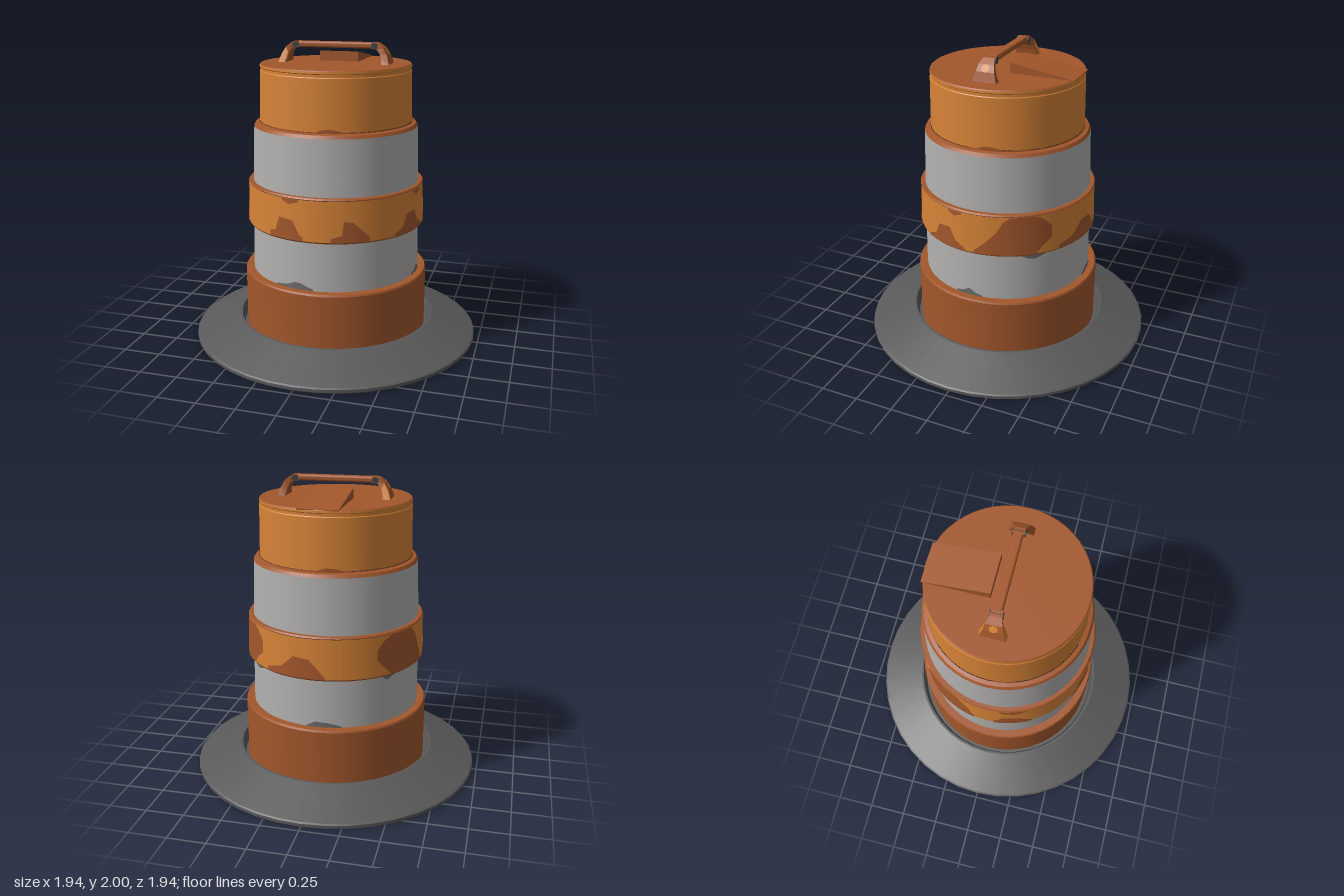
import * as THREE from 'three';
import { mergeGeometries } from 'three/addons/utils/BufferGeometryUtils.js';
import { RoundedBoxGeometry } from 'three/addons/geometries/RoundedBoxGeometry.js';

const material = (name, color, side = THREE.FrontSide) => {
  const m = new THREE.MeshStandardMaterial({ color, side });
  m.name = name;
  return m;
};

// Revolved profile, bottom to top, with a sharp edge at every point
function revolve(points, segments = 48) {
  const rings = [];
  for (let i = 0; i + 1 < points.length; i++) {
    const pair = [points[i], points[i + 1]].map(([r, y]) => new THREE.Vector2(r, y));
    rings.push(new THREE.LatheGeometry(pair, segments));
  }
  return mergeGeometries(rings);
}

// Thin curved plate on the barrel; outline is a list of [angle, low, high]
function wearPatch(outline, radiusAt) {
  const pos = [], index = [];
  const add = (a, y) => {
    const r = radiusAt(y) + 0.004;
    pos.push(r * Math.sin(a), y, r * Math.cos(a));
  };
  for (let i = 0; i + 1 < outline.length; i++) {
    const p = outline[i], q = outline[i + 1];
    const steps = Math.max(1, Math.ceil((q[0] - p[0]) / 0.06));
    for (let s = i ? 1 : 0; s <= steps; s++) {
      const [a, lo, hi] = p.map((v, k) => v + (q[k] - v) * s / steps);
      add(a, lo);
      add(a, hi);
    }
  }
  for (let k = 0; k + 3 < pos.length / 3; k += 2) index.push(k, k + 2, k + 1, k + 1, k + 2, k + 3);
  const g = new THREE.BufferGeometry();
  g.setAttribute('position', new THREE.Float32BufferAttribute(pos, 3));
  g.setIndex(index);
  g.computeVertexNormals();
  return g;
}

// Flat-faced handle leg: sections are [outerX, outerY, innerX, innerY, halfDepth]
function legGeometry(sections) {
  const pos = [];
  const ring = ([ox, oy, ix, iy, d]) => [[ox, oy, d], [ox, oy, -d], [ix, iy, -d], [ix, iy, d]];
  for (let i = 0; i + 1 < sections.length; i++) {
    const a = ring(sections[i]), b = ring(sections[i + 1]);
    for (let k = 0; k < 4; k++) {
      const n = (k + 1) % 4;
      pos.push(...a[k], ...b[k], ...b[n], ...a[k], ...b[n], ...a[n]);
    }
  }
  const g = new THREE.BufferGeometry();
  g.setAttribute('position', new THREE.Float32BufferAttribute(pos, 3));
  g.computeVertexNormals();
  return g;
}

export function createModel() {
  const group = new THREE.Group();
  const rust = material('rust orange', 0xa3572c);
  const orange = material('bright orange', 0xd78337);
  const white = material('reflective grey white', 0xb3b1b0);
  const rubber = material('rubber grey', 0x595959);
  const bolt = material('bolt grey', 0x3c4247);
  const rustPaint = material('worn orange', 0xa3572c, THREE.DoubleSide);
  const greyPaint = material('worn grey', 0x6a6a6a, THREE.DoubleSide);
  const orangePaint = material('orange paint', 0xd78337, THREE.DoubleSide);

  const add = (name, geometry, mat, parent = group) => {
    const mesh = new THREE.Mesh(geometry, mat);
    mesh.name = name;
    parent.add(mesh);
    return mesh;
  };

  // Weighted rubber base with a groove around the barrel
  add('base', revolve([[0, 0], [0.96, 0], [0.97, 0.01], [0.97, 0.03], [0.96, 0.037],
    [0.675, 0.145], [0.66, 0.145], [0.64, 0.07], [0.61, 0.07]], 40), rubber);

  // Stepped barrel
  add('lowerBand', revolve([[0.62, 0.06], [0.62, 0.475], [0.613, 0.487], [0.55, 0.487]]), rust);
  add('lowerStripe', revolve([[0.565, 0.487], [0.56, 0.82]]), white);
  add('middleBandUnderside', revolve([[0.55, 0.812], [0.583, 0.812], [0.59, 0.822]]), rust);
  add('middleBand', revolve([[0.59, 0.822], [0.583, 1.085]]), orange);
  add('middleBandLedge', revolve([[0.583, 1.085], [0.587, 1.09], [0.58, 1.1], [0.54, 1.1]]), rust);
  add('upperStripe', revolve([[0.555, 1.1], [0.542, 1.462]]), white);
  add('upperLedge', revolve([[0.542, 1.462], [0.53, 1.482], [0.505, 1.488], [0.505, 1.495]]), rust);
  add('topBand', revolve([[0.502, 1.495], [0.497, 1.82], [0.493, 1.825], [0.493, 1.842],
    [0.497, 1.847], [0.496, 1.86]]), orange);
  add('lid', revolve([[0.496, 1.86], [0.49, 1.866], [0, 1.866]]), rust);

  // Worn paint on the middle band
  const middle = y => 0.59 - (y - 0.822) * 0.0266;
  const b = 0.824, t = 1.084;
  [
    [[-0.5, b, 0.86], [-0.42, b, 0.87], [-0.37, b, 0.96], [-0.2, b, 0.95], [-0.12, b, 0.86], [-0.08, b, 0.85]],
    [[-0.34, 1.075, t], [-0.25, 1.05, t], [-0.13, 1.07, t]],
    [[0.22, b, 0.85], [0.34, b, 0.87], [0.36, b, 0.96], [0.46, b, 0.95], [0.55, b, 0.9], [0.64, b, 0.85]],
    [[0.95, b, 0.84], [1.08, b, 0.87], [1.14, b, 0.95], [1.3, b, 0.96], [1.38, b, 0.88], [1.5, b, 0.84]],
    [[1.28, 1.075, t], [1.36, 1.05, t], [1.46, 1.07, t]],
    [[1.6, b, 0.84], [1.72, b, 0.9], [1.85, b, 0.98], [1.92, b, 1.05], [2.0, b, t],
      [2.28, b, t], [2.36, 0.88, 1.06], [2.46, 0.92, 1.0]],
    [[2.55, b, 0.85], [2.75, b, 0.88], [2.9, b, 0.96], [3.08, b, 0.95], [3.25, b, 0.84]],
    [[-2.46, 0.93, 1.0], [-2.38, 0.88, 1.05], [-2.28, b, t], [-1.95, b, t], [-1.85, b, 1.02], [-1.72, b, 0.86]],
    [[-1.5, b, 0.85], [-1.38, b, 0.95], [-1.2, b, 0.93], [-1.05, b, 0.85]],
    [[-1.42, 1.05, t], [-1.25, 1.03, t], [-1.12, 1.07, t]],
  ].forEach(o => add('middleBandWear', wearPatch(o, middle), rustPaint));

  // Scuffs on the lower stripe and the foot of the top band
  const lower = y => 0.565 - (y - 0.487) * 0.015;
  const f = 0.489, u = 0.812;
  [
    [[-0.46, f, 0.497], [-0.3, f, 0.51], [-0.2, f, 0.535], [-0.12, f, 0.53], [-0.04, f, 0.51], [0.02, f, 0.5]],
    [[1.35, f, 0.5], [1.45, f, 0.515], [1.52, f, 0.537], [1.6, f, 0.51], [1.68, f, 0.497]],
    [[-3.25, f, 0.495], [-3.15, f, 0.525], [-3.0, f, 0.52], [-2.85, f, 0.497]],
    [[2.1, 0.805, u], [2.2, 0.78, u], [2.28, 0.772, u], [2.42, 0.8, u]],
    [[-2.38, 0.805, u], [-2.3, 0.775, u], [-2.2, 0.8, u]],
  ].forEach(o => add('stripeScuff', wearPatch(o, lower), greyPaint));
  [0.2, 1.75, 3.3, 4.9].forEach(a => add('topBandWear', wearPatch(
    [[a - 0.15, 1.495, 1.5], [a - 0.06, 1.495, 1.515], [a + 0.05, 1.495, 1.512], [a + 0.15, 1.495, 1.5]],
    () => 0.502), rustPaint));

  // Sloping wedge on the lid behind the handle
  const wedge = new THREE.Shape([[0.07, 1.86], [0.49, 1.86], [0.49, 1.868], [0.07, 1.932]]
    .map(p => new THREE.Vector2(...p)));
  const wedgeGeo = new THREE.ExtrudeGeometry(wedge, { depth: 0.26, bevelEnabled: false });
  wedgeGeo.rotateY(Math.PI / 2).translate(-0.13, 0, 0);
  add('lidWedge', wedgeGeo, rust);

  // Carrying handle with flared legs and bolts
  const handle = new THREE.Group();
  handle.name = 'handle';
  group.add(handle);
  add('handleBar', new RoundedBoxGeometry(0.53, 0.04, 0.06, 3, 0.014), rust, handle).position.y = 1.98;
  const leg = legGeometry([[0.24, 2, 0.24, 1.96, 0.034], [0.285, 1.997, 0.28, 1.955, 0.036],
    [0.325, 1.967, 0.302, 1.93, 0.05], [0.35, 1.925, 0.312, 1.9, 0.06], [0.37, 1.862, 0.32, 1.862, 0.08]]);
  for (const turn of [0, Math.PI]) {
    const side = new THREE.Group();
    side.name = turn ? 'rightHandleEnd' : 'leftHandleEnd';
    side.rotation.y = turn;
    handle.add(side);
    add('handleLeg', leg, rust, side);
    const pin = add('handleBolt', new THREE.CylinderGeometry(0.021, 0.021, 0.082, 12), bolt, side);
    pin.rotation.x = Math.PI / 2;
    pin.position.set(0.263, 1.978, 0);
    // Bright spot of paint on the outer face
    const spot = add('legPaint', new THREE.CircleGeometry(0.026, 8), orangePaint, side);
    spot.position.set(0.342, 1.947, 0);
    spot.rotation.set(0, Math.PI / 2, 0);
    spot.rotateX(-0.54);
  }
  // Paint left on the front and back of the right leg
  const strip = new THREE.Shape([[-0.37, 1.864], [-0.33, 1.864], [-0.318, 1.9], [-0.308, 1.93],
    [-0.323, 1.962], [-0.35, 1.925]].map(p => new THREE.Vector2(...p)));
  for (const s of [1, -1]) {
    const geo = new THREE.ShapeGeometry(strip);
    const p = geo.attributes.position;
    for (let i = 0; i < p.count; i++) {
      const y = p.getY(i);
      p.setZ(i, s * (0.004 + (y < 1.92 ? 0.08 - (y - 1.862) * 0.36 : 0.058 - (y - 1.92) * 0.2)));
    }
    geo.computeVertexNormals();
    add('legSidePaint', geo, orangePaint, handle);
  }
  return group;
}
